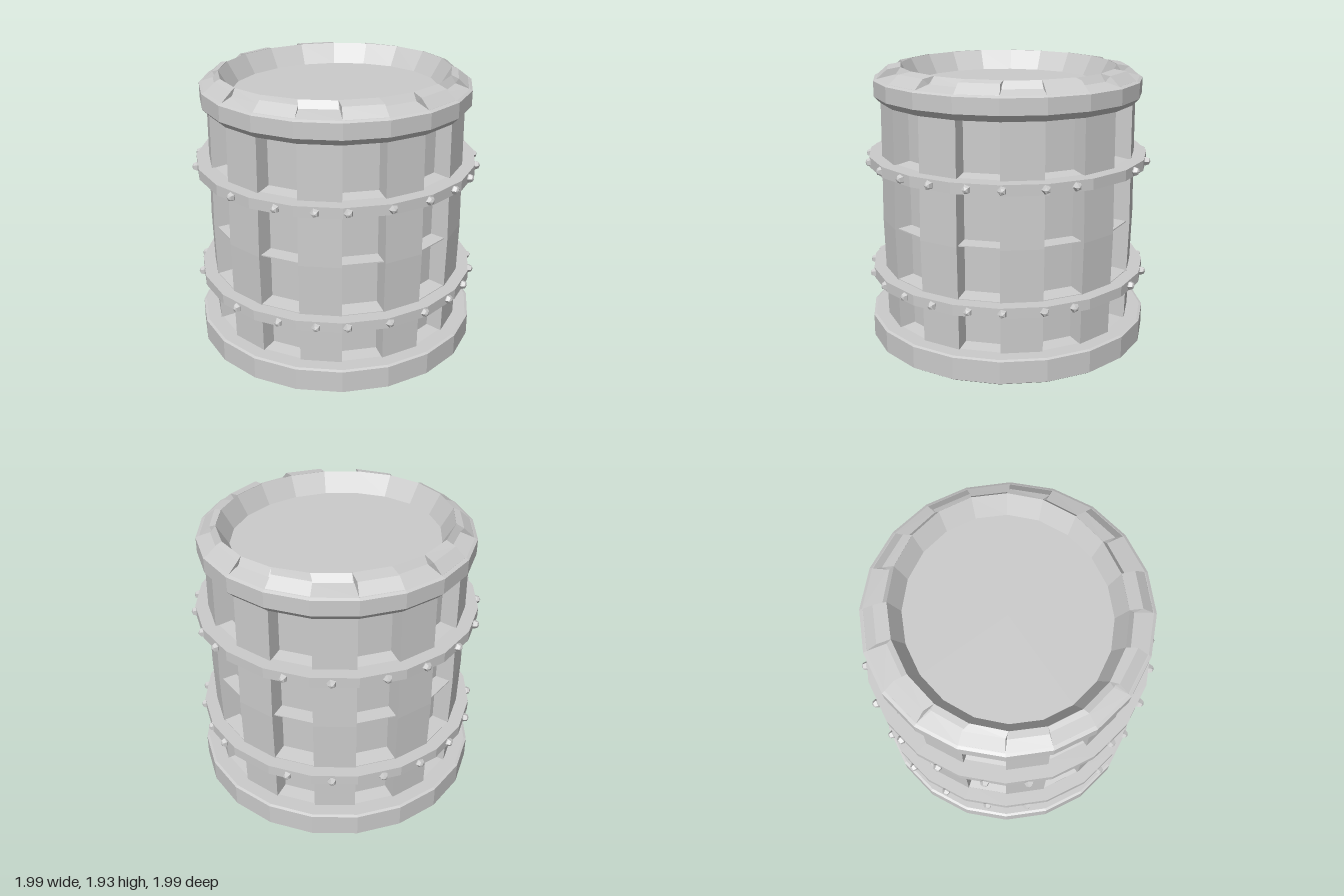
import * as THREE from 'three';
import { mergeGeometries } from 'three/addons/utils/BufferGeometryUtils.js';

const SIDES = 20;
const STEP = (Math.PI * 2) / SIDES;
const solid = new THREE.MeshStandardMaterial({ color: 0xcccccc, flatShading: true });
const twoSided = new THREE.MeshStandardMaterial({ color: 0xcccccc, flatShading: true, side: THREE.DoubleSide });

const points = (list) => list.map(([r, y]) => new THREE.Vector2(r, y));

// The mouth of the rim is slightly wider than it is deep.
function ovalMouth(geometry) {
  const p = geometry.attributes.position;
  for (let i = 0; i < p.count; i++) {
    const x = p.getX(i), z = p.getZ(i);
    if (p.getY(i) > 1.72 && Math.hypot(x, z) < 0.82) {
      p.setX(i, x * 1.04);
      p.setZ(i, z * 0.965);
    }
  }
  return geometry;
}

// One facet wide block: a closed profile swept over a single step, with side walls.
function wedge(profile, index) {
  const start = index * STEP;
  const outline = points(profile);
  const parts = [new THREE.LatheGeometry([...outline, outline[0].clone()], 1, start, STEP)];
  for (const angle of [start, start + STEP]) {
    parts.push(new THREE.ShapeGeometry(new THREE.Shape(outline)).rotateY(angle - Math.PI / 2));
  }
  return mergeGeometries(parts);
}

export function createModel() {
  const group = new THREE.Group();
  const body = new THREE.Group();
  body.position.x = -0.01;
  group.add(body);

  const add = (name, geometry, material = solid, parent = body) => {
    const mesh = new THREE.Mesh(geometry, material);
    mesh.name = name;
    parent.add(mesh);
    return mesh;
  };
  const ring = (profile) => new THREE.LatheGeometry(points(profile), SIDES);

  // Base plinth
  add('base', ring([[0, 0], [0.97, 0], [0.988, 0.012], [0.988, 0.165], [0.97, 0.172], [0.7, 0.172]]));

  // Recessed wall with sloping ledges and a thin middle rib
  add('innerWall', ring([
    [0.88, 0.17], [0.77, 0.185], [0.77, 0.445], [0.88, 0.455],
    [0.88, 0.53], [0.77, 0.545], [0.77, 0.868], [0.868, 0.88], [0.868, 0.888], [0.77, 0.896],
    [0.77, 1.245], [0.88, 1.255], [0.88, 1.322], [0.77, 1.34], [0.77, 1.67], [0.88, 1.69],
  ]));

  // Alternating raised staves, slightly bulging in the middle
  const staves = new THREE.Group();
  staves.name = 'staves';
  body.add(staves);
  const staveProfile = [[0.74, 0.17], [0.88, 0.17], [0.885, 0.5], [0.893, 0.88], [0.885, 1.3], [0.88, 1.69], [0.74, 1.69]];
  for (let i = 0; i < SIDES; i += 2) add('stave', wedge(staveProfile, i), twoSided, staves);

  // Upper rim, hollow mouth and sunken floor
  add('rim', ovalMouth(ring([
    [0.86, 1.69], [0.88, 1.69], [0.924, 1.735], [0.924, 1.84], [0.905, 1.85],
    [0.8, 1.878], [0.765, 1.925], [0.687, 1.79], [0, 1.79],
  ])));

  // Sloping blocks on the rim, between the notches
  const rimBlocks = new THREE.Group();
  rimBlocks.name = 'rimBlocks';
  body.add(rimBlocks);
  const blockProfile = [[0.765, 1.84], [0.905, 1.84], [0.9, 1.852], [0.83, 1.912], [0.765, 1.927]];
  for (let i = 1; i < SIDES; i += 2) add('rimBlock', ovalMouth(wedge(blockProfile, i)), twoSided, rimBlocks);

  // Two hoops, each with studs hammered in by hand at uneven angles
  const studAngles = [0.6, 16.5, 31, 45, 60, 73, 89, 101, 134, 152, 172.5, 189, 207, 225, 244, 261, 297, 317, 332, 344];
  const studGeometry = new THREE.SphereGeometry(0.032, 5, 4).rotateX(Math.PI / 2);
  for (const [name, y] of [['lowerHoop', 0.49], ['upperHoop', 1.29]]) {
    const hoop = new THREE.Group();
    hoop.name = name;
    hoop.position.y = y;
    body.add(hoop);
    add('hoopBand', ring([[0.86, -0.036], [0.972, -0.036], [0.972, 0.036], [0.86, 0.036]]), solid, hoop);
    for (const degrees of studAngles) {
      const angle = THREE.MathUtils.degToRad(degrees);
      const stud = add('stud', studGeometry, solid, hoop);
      stud.position.set(0.968 * Math.sin(angle), 0, 0.968 * Math.cos(angle));
      stud.rotation.y = angle;
    }
  }
  return group;
}
